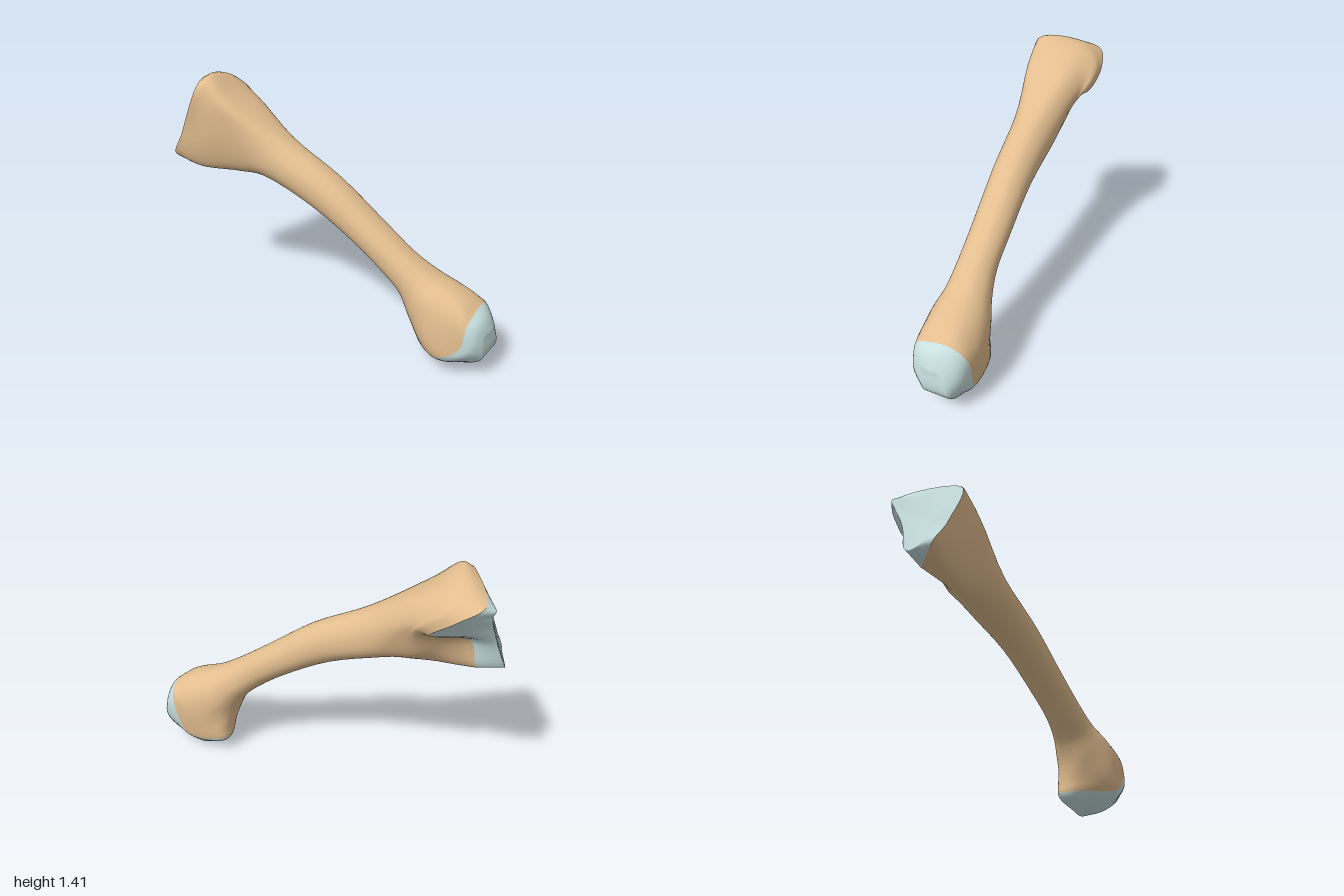
import * as THREE from 'three';

const SUB = 6;            // samples between neighbouring control points of a ring
const N = 8 * SUB;        // points per ring
const STEPS = 4;          // rings between neighbouring cross-sections

// Every ring has eight control points: top left, top right, down the right side, up the left.
const ring = (...list) => list.map(p => new THREE.Vector3(...p));

// Rounded shaft section from top [z, y] to bottom [z, y], between xL and xR.
function section(top, bot, xL, xR) {
  const c = (xL + xR) / 2, h = (xR - xL) / 2;
  const shape = [[-0.43, 0.02], [0.43, 0.02], [0.97, 0.3], [0.97, 0.7], [0.43, 0.98], [-0.43, 0.98], [-0.97, 0.7], [-0.97, 0.3]];
  return ring(...shape.map(([f, s]) => [c + f * h, top[1] + (bot[1] - top[1]) * s, top[0] + (bot[0] - top[0]) * s]));
}

// Rounds a control ring into N points.
function roundRing(ctrl) {
  const curve = new THREE.CatmullRomCurve3(ctrl, true, 'catmullrom', 0.5);
  return Array.from({ length: N }, (_, k) => curve.getPoint(k / N));
}

// Smooth rings running through all sections along the length.
function blend(sections) {
  const base = sections.map(roundRing);
  const count = (base.length - 1) * STEPS;
  const lines = base[0].map((_, k) => new THREE.CatmullRomCurve3(base.map(r => r[k]), false, 'centripetal'));
  return Array.from({ length: count + 1 }, (_, i) => lines.map(l => l.getPoint(i / count)));
}

// Skin over the rings; cap closes the 'start' (back) or 'end' (front) with a strip.
function skin(rings, cap) {
  const pos = [], idx = [];
  rings.forEach(r => r.forEach(p => pos.push(p.x, p.y, p.z)));
  for (let i = 0; i < rings.length - 1; i++) {
    for (let k = 0; k < N; k++) {
      const a = i * N + k, b = i * N + (k + 1) % N;
      idx.push(a, a + N, b, b, a + N, b + N);
    }
  }
  if (cap) {
    const o = cap === 'end' ? (rings.length - 1) * N : 0;
    const right = j => o + (SUB / 2 + j) % N;
    const left = j => o + (SUB / 2 - j + N) % N;
    for (let j = 0; j < N / 2; j++) {
      const tris = [[right(j), left(j), left(j + 1)], [right(j), left(j + 1), right(j + 1)]];
      tris.forEach(t => {
        if (new Set(t).size === 3) idx.push(...(cap === 'end' ? t : t.reverse()));
      });
    }
  }
  const g = new THREE.BufferGeometry();
  g.setAttribute('position', new THREE.Float32BufferAttribute(pos, 3));
  g.setIndex(idx);
  g.computeVertexNormals();
  return g;
}

export function createModel() {
  const group = new THREE.Group();
  const bone = new THREE.MeshStandardMaterial({ color: 0xe2bd8f });
  const cartilage = new THREE.MeshStandardMaterial({ color: 0xc8dfdf });
  const add = (name, geometry, material) => {
    const mesh = new THREE.Mesh(geometry, material);
    mesh.name = name;
    group.add(mesh);
  };

  // Ridge inside the joint face at the upper end
  const faceRidge = ring(
    [-0.10, 1.28, -0.84], [0.085, 1.30, -0.945], [0.09, 1.25, -0.935], [0.04, 1.16, -0.94],
    [-0.01, 1.06, -0.955], [-0.075, 0.905, -0.995], [-0.15, 0.93, -0.96], [-0.16, 1.1, -0.895]);
  // Rim of that joint face, with its lobe on the +x side
  const faceRim = ring(
    [-0.19, 1.365, -0.75], [0.11, 1.33, -0.91], [0.205, 1.25, -0.80], [0.175, 1.13, -0.66],
    [0.0, 1.06, -0.82], [-0.05, 0.88, -0.86], [-0.205, 0.925, -0.94], [-0.225, 1.08, -0.86]);
  // Widest part of the upper head
  const head = ring(
    [-0.17, 1.385, -0.70], [0.05, 1.385, -0.76], [0.195, 1.28, -0.72], [0.17, 1.14, -0.60],
    [0.03, 1.02, -0.70], [-0.055, 0.865, -0.74], [-0.17, 0.885, -0.80], [-0.20, 1.09, -0.74]);
  // Flare from head to shaft
  const neck = ring(
    [-0.15, 1.30, -0.58], [0.07, 1.29, -0.57], [0.155, 1.2, -0.58], [0.13, 1.08, -0.54],
    [0.06, 0.93, -0.56], [-0.05, 0.86, -0.56], [-0.13, 0.93, -0.56], [-0.175, 1.16, -0.58]);

  // Lower head, then the edge, shoulder and crown of its rounded joint surface
  const lowerHead = ring(
    [-0.02, 0.42, 0.86], [0.15, 0.43, 0.86], [0.235, 0.34, 0.79], [0.23, 0.19, 0.70],
    [0.18, 0.16, 0.565], [0.04, 0.175, 0.56], [-0.09, 0.20, 0.68], [-0.085, 0.32, 0.79]);
  const edge = ring(
    [-0.04, 0.36, 0.91], [0.13, 0.405, 0.91], [0.232, 0.32, 0.88], [0.222, 0.09, 0.80],
    [0.19, 0.105, 0.575], [0.06, 0.105, 0.57], [-0.085, 0.12, 0.75], [-0.07, 0.21, 0.885]);
  const shoulder = ring(
    [-0.01, 0.33, 0.955], [0.12, 0.35, 0.96], [0.215, 0.23, 0.94], [0.20, 0.06, 0.81],
    [0.18, 0.07, 0.60], [0.08, 0.07, 0.59], [-0.04, 0.08, 0.78], [-0.05, 0.19, 0.935]);
  const crown = ring(
    [0.03, 0.27, 0.985], [0.13, 0.27, 0.99], [0.175, 0.13, 0.975], [0.155, 0.006, 0.77],
    [0.15, 0.05, 0.63], [0.10, 0.05, 0.62], [0.085, 0.008, 0.77], [0.03, 0.12, 0.97]);

  const rings = blend([
    faceRim, head, neck,
    // shaft
    section([-0.27, 1.108], [-0.40, 0.867], -0.13, 0.115),
    section([0.05, 0.94], [-0.08, 0.757], -0.095, 0.118),
    section([0.33, 0.74], [0.20, 0.60], -0.07, 0.132),
    section([0.52, 0.607], [0.36, 0.485], -0.06, 0.142),
    // lower flare
    section([0.66, 0.525], [0.47, 0.385], -0.06, 0.178),
    section([0.78, 0.478], [0.53, 0.27], -0.08, 0.215),
    lowerHead, edge, shoulder, crown,
  ]);
  const split = 10 * STEPS;

  add('shaft', skin(rings.slice(0, split + 1)), bone);
  add('lowerJointSurface', skin(rings.slice(split), 'end'), cartilage);
  add('upperJointFace', skin(blend([faceRidge, faceRim]), 'start'), cartilage);
  return group;
}
